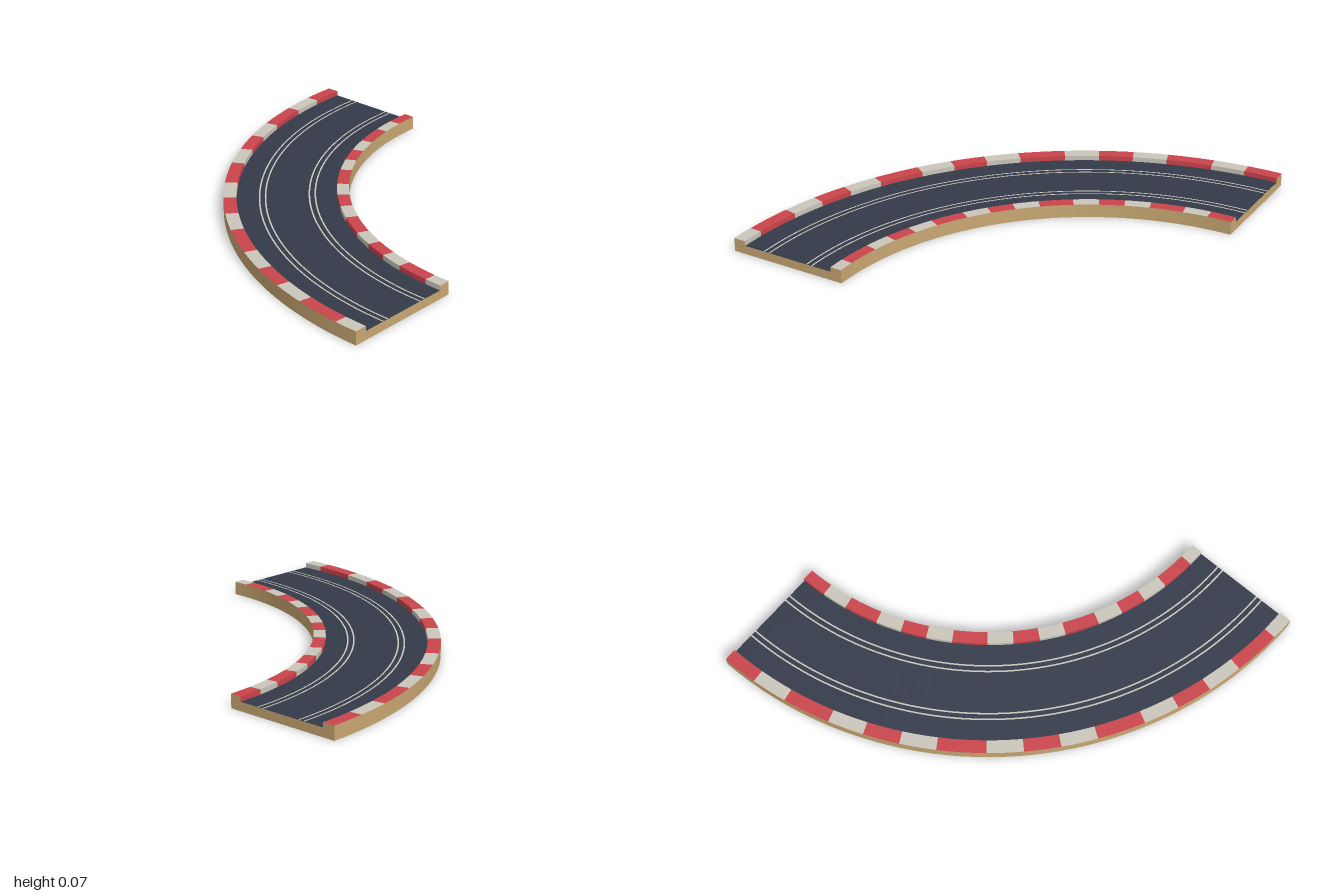
import * as THREE from 'three';
import { mergeGeometries } from 'three/addons/utils/BufferGeometryUtils.js';

const SEGMENTS = 51;
const STEP = Math.PI / 2 / SEGMENTS;
const INNER = 1.37, OUTER = 2;            // edges of the base
const ROAD_IN = 1.43, ROAD_OUT = 1.935;   // edges of the asphalt
const ROAD_Y = 0.045, TOP_Y = 0.07;

function material(name, color) {
  const m = new THREE.MeshStandardMaterial({ color });
  m.name = name;
  return m;
}

// Sweeps each profile edge [rA, yA, rB, yB] along the bend, from segment i0 to i1
function sweep(edges, i0 = 0, i1 = SEGMENTS) {
  return mergeGeometries(edges.map(([rA, yA, rB, yB]) => new THREE.LatheGeometry(
    [new THREE.Vector2(rA, yA), new THREE.Vector2(rB, yB)],
    i1 - i0, -Math.PI / 2 + i0 * STEP, (i1 - i0) * STEP)));
}

// Flat cross-section closing one end; side mirrors it
function endCap(side) {
  const profile = [
    [INNER, 0], [OUTER, 0], [OUTER, TOP_Y], [ROAD_OUT, TOP_Y],
    [ROAD_OUT, ROAD_Y], [ROAD_IN, ROAD_Y], [ROAD_IN, TOP_Y], [INNER, TOP_Y],
  ];
  const shape = new THREE.Shape(profile.map(([r, y]) => new THREE.Vector2(side * r, y)));
  return new THREE.ShapeGeometry(shape);
}

export function createModel() {
  const wood = material('wood', 0xc9a873);
  const asphalt = material('asphalt', 0x343a4a);
  const red = material('red paint', 0xca444b);
  const white = material('white paint', 0xcbc6bb);

  const model = new THREE.Group();
  model.name = 'curvedTrack';
  // The bend turns around the back right corner
  const bend = new THREE.Group();
  bend.name = 'bend';
  bend.position.set(1, 0, -1);
  model.add(bend);

  const add = (name, geometry, mat, parent = bend) => {
    const mesh = new THREE.Mesh(geometry, mat);
    mesh.name = name;
    parent.add(mesh);
    return mesh;
  };

  // Wooden base: outer wall, inner wall, underside and the two ends
  add('baseWalls', sweep([
    [OUTER, 0, OUTER, TOP_Y],
    [INNER, TOP_Y, INNER, 0],
    [INNER, 0, OUTER, 0],
  ]), wood);
  add('backEnd', endCap(1), wood).rotation.y = Math.PI;
  add('sideEnd', endCap(-1), wood).rotation.y = Math.PI / 2;

  // Road surface
  add('road', sweep([[ROAD_OUT, ROAD_Y, ROAD_IN, ROAD_Y]]), asphalt);

  // Two pairs of lane lines
  for (const r of [1.54, 1.57, 1.79, 1.82]) {
    const y = ROAD_Y + 0.001;
    add('laneLine', sweep([[r + 0.004, y, r - 0.004, y]]), white);
  }

  // Striped kerbs: top face and the side facing the road
  const kerbs = {
    innerKerb: [[ROAD_IN, TOP_Y, INNER, TOP_Y], [ROAD_IN, ROAD_Y, ROAD_IN, TOP_Y]],
    outerKerb: [[OUTER, TOP_Y, ROAD_OUT, TOP_Y], [ROAD_OUT, TOP_Y, ROAD_OUT, ROAD_Y]],
  };
  const stripeStart = (k) => Math.min(SEGMENTS, Math.floor(3.25 * k + 0.25));
  for (const [name, edges] of Object.entries(kerbs)) {
    const kerb = new THREE.Group();
    kerb.name = name;
    bend.add(kerb);
    for (let k = 0; k < 16; k++) {
      add('kerbStripe', sweep(edges, stripeStart(k), stripeStart(k + 1)), k % 2 ? white : red, kerb);
    }
  }

  return model;
}
